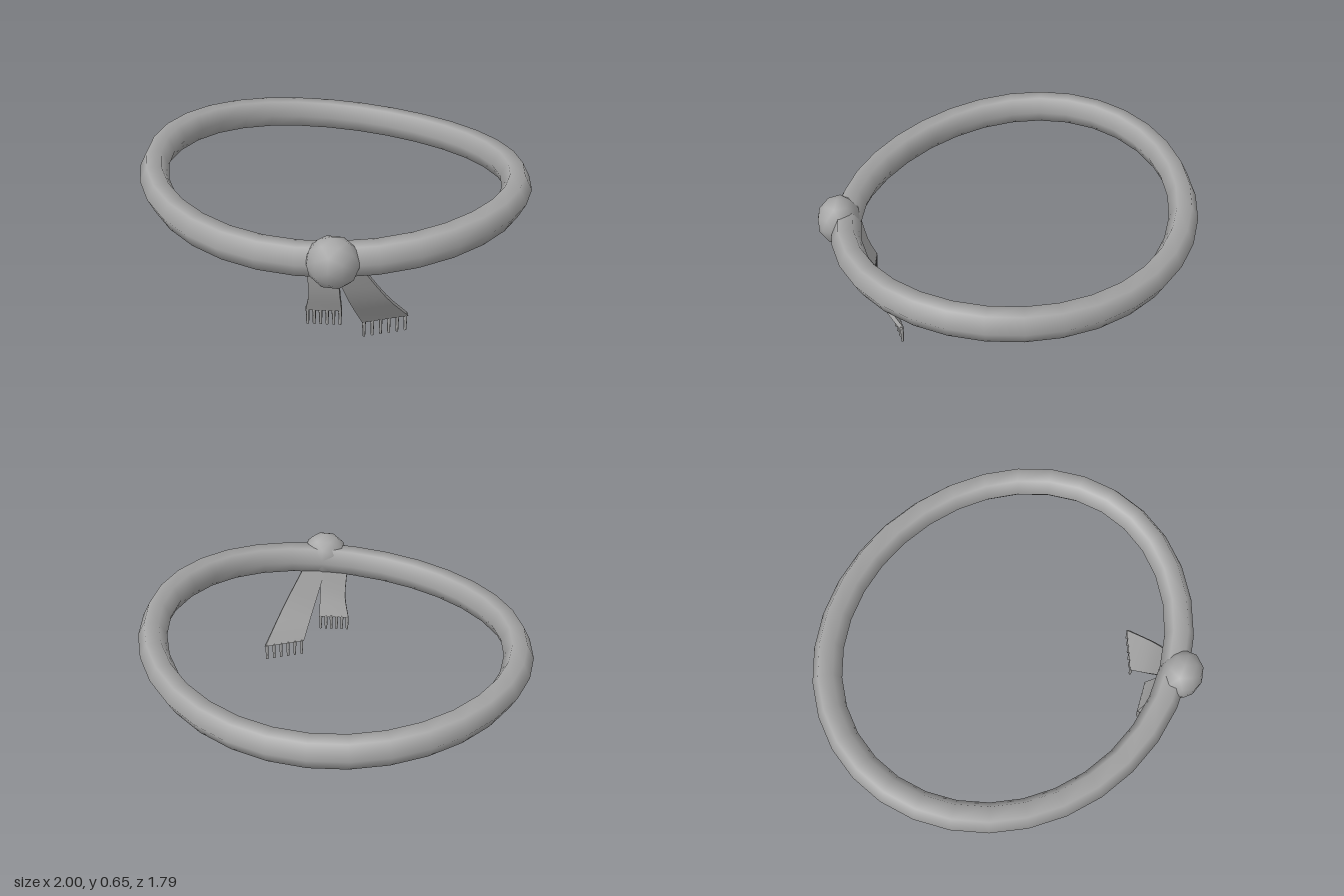
import * as THREE from 'three';
import { mergeVertices, toCreasedNormals } from 'three/addons/utils/BufferGeometryUtils.js';

const cloth = new THREE.MeshStandardMaterial({ color: 0xa6a6a6 });
cloth.name = 'grey cloth';

const V = (p) => new THREE.Vector3(...p);

function addMesh(parent, name, geometry) {
  const mesh = new THREE.Mesh(geometry, cloth);
  mesh.name = name;
  parent.add(mesh);
  return mesh;
}

// Share vertices so the normals are smooth all round
function smooth(geometry) {
  geometry.deleteAttribute('uv');
  geometry.deleteAttribute('normal');
  const merged = mergeVertices(geometry, 1e-4);
  merged.computeVertexNormals();
  return merged;
}

// Oval six-sided loop that rises at the two sides
function loopGeometry() {
  const sides = 32;
  const g = new THREE.TorusGeometry(1, 0.1, 6, sides);
  const pos = g.attributes.position, uv = g.attributes.uv;
  for (let i = 0; i < pos.count; i++) {
    const u = (uv.getX(i) + 0.5 / sides) * Math.PI * 2;
    const v = uv.getY(i) * Math.PI * 2;
    const out = 0.073 * Math.cos(v);
    const lift = 0.507 + 0.068 * Math.cos(u) ** 2;
    pos.setXYZ(i,
      (0.931 + out) * Math.cos(u),
      lift + 0.083 * Math.sin(v),
      -0.005 - (0.825 + out) * Math.sin(u));
  }
  return smooth(g);
}

// Thin curved strip spanned between a left and a right edge curve
function stripGeometry(left, right, thickness, steps = 6) {
  const rings = [];
  for (let i = 0; i <= steps; i++) {
    const t = i / steps;
    const a = left.getPoint(t), b = right.getPoint(t);
    const along = left.getTangent(t).add(right.getTangent(t));
    const n = along.cross(b.clone().sub(a)).setLength(thickness / 2);
    rings.push([a.clone().add(n), b.clone().add(n), b.clone().sub(n), a.clone().sub(n)]);
  }
  const pts = [];
  const quad = (a, b, c, d) => pts.push(a, b, c, a, c, d);
  for (let i = 0; i < steps; i++) {
    const top = rings[i], low = rings[i + 1];
    for (let k = 0; k < 4; k++) {
      const m = (k + 1) % 4;
      quad(top[k], low[k], low[m], top[m]);
    }
  }
  const first = rings[0], last = rings[steps];
  quad(first[0], first[1], first[2], first[3]);
  quad(last[0], last[3], last[2], last[1]);
  return toCreasedNormals(new THREE.BufferGeometry().setFromPoints(pts), 0.7);
}

// Hanging end of the scarf with a row of tassels along its hem
function scarfEnd(name, leftPoints, rightPoints, tasselLength) {
  const group = new THREE.Group();
  group.name = name;
  const left = new THREE.CatmullRomCurve3(leftPoints.map(V));
  const right = new THREE.CatmullRomCurve3(rightPoints.map(V));
  addMesh(group, 'strip', stripGeometry(left, right, 0.02));

  const count = 6;
  const a = left.getPoint(1), b = right.getPoint(1);
  for (let i = 0; i < count; i++) {
    const t = 0.05 + 0.9 * i / (count - 1);
    const tassel = addMesh(group, 'tassel',
      new THREE.CylinderGeometry(0.010, 0.007, tasselLength + 0.01, 5));
    tassel.position.lerpVectors(a, b, t);
    tassel.position.y -= tasselLength / 2 - 0.005;
  }
  return group;
}

export function createModel() {
  const model = new THREE.Group();
  model.name = 'scarf';

  addMesh(model, 'neckLoop', loopGeometry());

  // Knot, slightly flattened against the loop
  const knot = addMesh(model, 'knot', smooth(new THREE.IcosahedronGeometry(1, 1)));
  knot.scale.set(0.124, 0.124, 0.107);
  knot.position.set(0.438, 0.528, 0.765);
  knot.rotation.y = 0.3;

  model.add(scarfEnd('shortEnd',
    [[0.29, 0.47, 0.75], [0.285, 0.31, 0.715], [0.252, 0.195, 0.69]],
    [[0.43, 0.47, 0.70], [0.42, 0.33, 0.67], [0.405, 0.197, 0.622]], 0.08));

  model.add(scarfEnd('longEnd',
    [[0.405, 0.47, 0.71], [0.435, 0.25, 0.61], [0.447, 0.085, 0.505]],
    [[0.51, 0.49, 0.66], [0.58, 0.27, 0.52], [0.612, 0.09, 0.35]], 0.086));

  return model;
}
